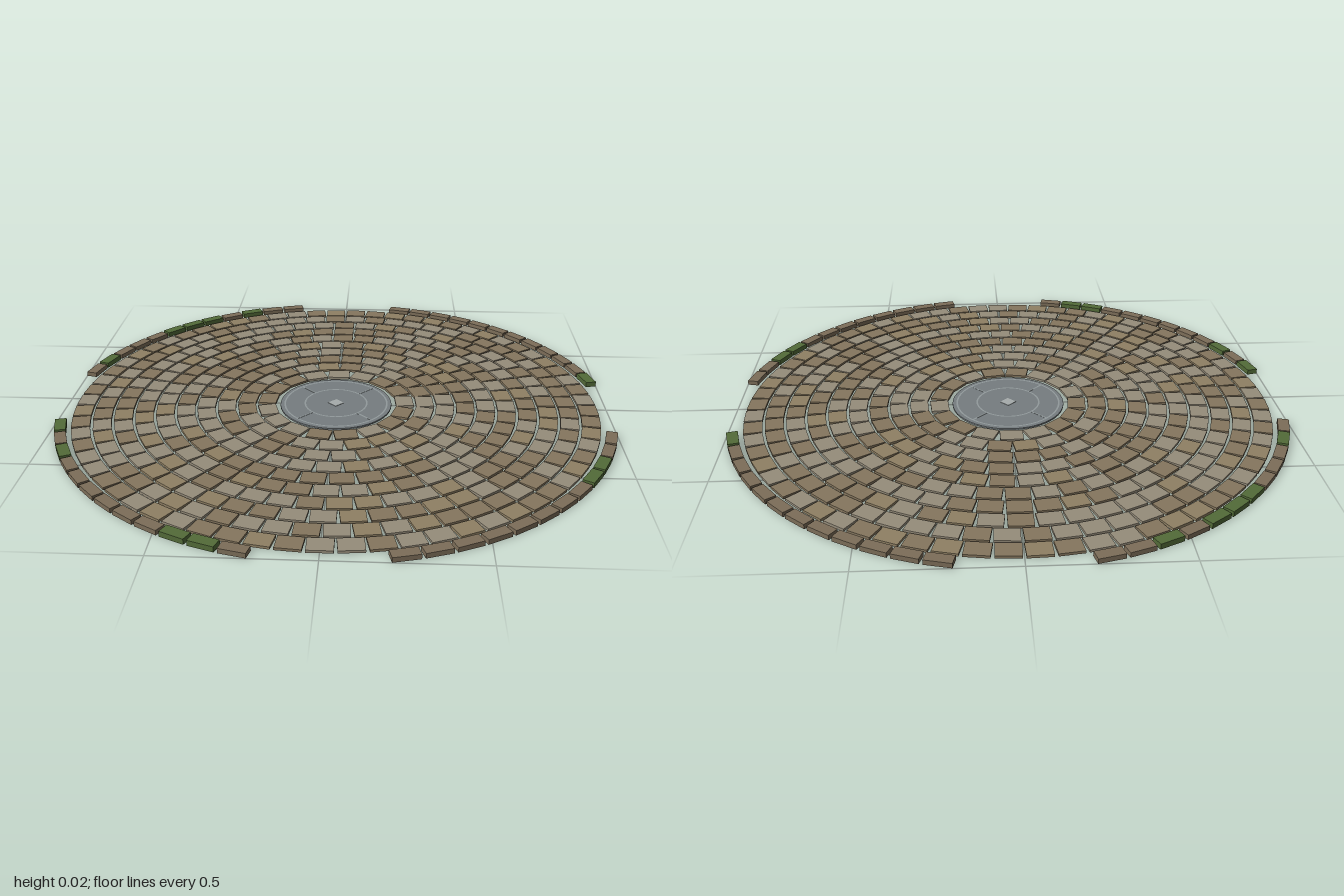
import * as THREE from 'three';

const paint = (color) => new THREE.MeshStandardMaterial({ color });

// small seeded generator for the mix of stone colours
function seeded(seed) {
  return () => (seed = (seed * 16807) % 2147483647) / 2147483647;
}

// box standing on y = 0
function slab(w, h, d) {
  return new THREE.BoxGeometry(w, h, d).translate(0, h / 2, 0);
}

function add(parent, name, geometry, material) {
  const mesh = new THREE.Mesh(geometry, material);
  mesh.name = name;
  parent.add(mesh);
  return mesh;
}

// place a mesh on a circle, angle counted from +z towards +x
function placeOnCircle(mesh, radius, angle) {
  mesh.position.set(radius * Math.sin(angle), mesh.position.y, radius * Math.cos(angle));
  mesh.rotation.y = angle;
}

// ten rings of paving stones, laid with staggered joints
function createPaving() {
  const paving = new THREE.Group();
  paving.name = 'paving';
  const random = seeded(4217);
  const stone = slab(0.082, 0.009, 0.066);
  const colors = [0x85765e, 0x968d7b, 0x8f8064].map(paint);
  for (let i = 0; i < 10; i++) {
    const ring = new THREE.Group();
    ring.name = 'pavingRing';
    const radius = 0.255 + i * 0.075;
    const count = Math.floor((2 * Math.PI * radius) / 0.0895);
    for (let k = 0; k < count; k++) {
      const pick = random();
      const color = colors[pick < 0.42 ? 0 : pick < 0.85 ? 1 : 2];
      const angle = ((k + (i % 2 ? 0 : 0.5)) / count) * Math.PI * 2;
      placeOnCircle(add(ring, 'pavingStone', stone, color), radius, angle);
    }
    paving.add(ring);
  }
  return paving;
}

// four kerb arcs with openings on the axes; some stones are mossy
function createKerb() {
  const kerb = new THREE.Group();
  kerb.name = 'kerb';
  const plain = slab(0.088, 0.017, 0.04);
  const mossy = slab(0.088, 0.019, 0.04);
  const brown = paint(0x7d6e59);
  const green = paint(0x536b38);
  const arcs = [
    { x: 1, z: 1, moss: [8, 9] },
    { x: 1, z: -1, moss: [11] },
    { x: -1, z: -1, moss: [2, 4, 5, 6, 10] },
    { x: -1, z: 1, moss: [1, 2, 9, 11] },
  ];
  for (const { x, z, moss } of arcs) {
    const arc = new THREE.Group();
    arc.name = 'kerbArc';
    for (let k = 0; k < 12; k++) {
      const a = THREE.MathUtils.degToRad(14.2 + k * 5.6);
      const isMossy = moss.includes(k);
      const mesh = isMossy
        ? add(arc, 'mossyKerbStone', mossy, green)
        : add(arc, 'kerbStone', plain, brown);
      placeOnCircle(mesh, 1, Math.atan2(x * Math.sin(a), z * Math.cos(a)));
    }
    kerb.add(arc);
  }
  return kerb;
}

// round centre plate with inlaid rings, spokes and a diamond
function createCentre() {
  const centre = new THREE.Group();
  centre.name = 'centrePlate';
  const top = 0.0062;
  const line = paint(0x929a9c);
  add(centre, 'plate', new THREE.CylinderGeometry(0.207, 0.207, 0.006, 48).translate(0, 0.003, 0), paint(0x767d80));
  for (const radius of [0.115, 0.19]) {
    const ring = new THREE.RingGeometry(radius - 0.003, radius + 0.003, 48).rotateX(-Math.PI / 2);
    add(centre, 'inlaidRing', ring, line).position.y = top + 0.0006;
  }
  const spoke = slab(0.006, 0.0008, 0.075);
  for (let k = 0; k < 4; k++) {
    const mesh = add(centre, 'inlaidSpoke', spoke, line);
    mesh.position.y = 0.0058;
    placeOnCircle(mesh, 0.1525, Math.PI / 4 + (k * Math.PI) / 2);
  }
  const diamond = add(centre, 'centreDiamond', slab(0.042, 0.0015, 0.042), paint(0xa6acac));
  diamond.position.y = 0.0058;
  diamond.rotation.y = Math.PI / 4;
  return centre;
}

export function createModel() {
  const model = new THREE.Group();
  model.name = 'roundPlaza';
  model.add(createPaving(), createKerb(), createCentre());
  return model;
}
